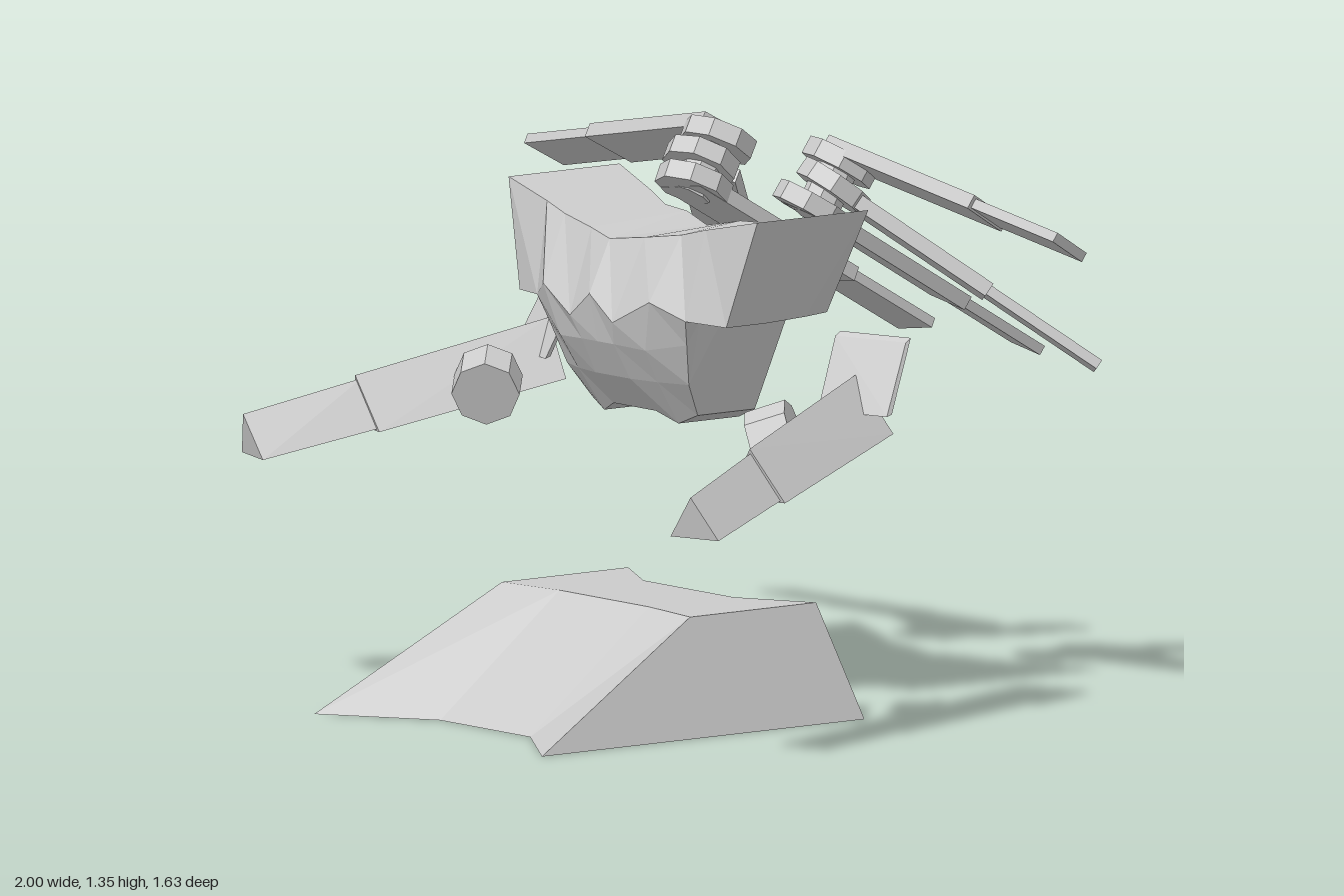
import * as THREE from 'three';

const material = new THREE.MeshStandardMaterial({ color: 0xcccccc, flatShading: true, side: THREE.DoubleSide });

// Skins a row of equal-sized cross-sections and caps both ends, facing outward
function loft(name, rings) {
  const n = rings[0].length;
  const tris = [];
  for (let i = 0; i < rings.length - 1; i++) {
    for (let j = 0; j < n; j++) {
      const k = (j + 1) % n;
      const [a, b, c, d] = [rings[i][j], rings[i][k], rings[i + 1][k], rings[i + 1][j]];
      tris.push([a, b, c], [a, c, d]);
    }
  }
  const first = rings[0], last = rings[rings.length - 1];
  for (let j = 1; j < n - 1; j++) {
    tris.push([first[0], first[j + 1], first[j]], [last[0], last[j], last[j + 1]]);
  }
  let volume = 0;
  for (const [a, b, c] of tris) {
    volume += new THREE.Vector3(...a).dot(new THREE.Vector3(...b).cross(new THREE.Vector3(...c)));
  }
  if (volume < 0) tris.forEach((t) => t.reverse());
  const geometry = new THREE.BufferGeometry();
  geometry.setAttribute('position', new THREE.Float32BufferAttribute(tris.flat(2), 3));
  geometry.computeVertexNormals();
  const mesh = new THREE.Mesh(geometry, material);
  mesh.name = name;
  return mesh;
}

const flip = (ring) => ring.map(([x, y, z]) => [-x, y, z]);

// Mesh with its local x along dir and local y along normal
function place(name, geometry, center, dir, normal) {
  const x = dir.clone().normalize();
  const y = normal.clone().addScaledVector(x, -normal.dot(x)).normalize();
  const z = new THREE.Vector3().crossVectors(x, y);
  const mesh = new THREE.Mesh(geometry, material);
  mesh.name = name;
  mesh.quaternion.setFromRotationMatrix(new THREE.Matrix4().makeBasis(x, y, z));
  mesh.position.copy(center);
  return mesh;
}

// Sloped base with a hollowed front and back
function createBase() {
  const outer = [[0.43, 0, 0.815], [0.355, 0.275, 0.315], [0.355, 0.275, -0.06], [0.43, 0, -0.145]];
  const inner = [[0.17, 0, 0.645], [0.17, 0.275, 0.29], [0.17, 0.275, 0.04], [0.17, 0, -0.045]];
  return loft('base', [flip(outer), flip(inner), inner, outer]);
}

// Faceted chest: sections run top back, top front, nose, then down and round the back
function createTorso() {
  const middle = [
    [0, 1.13, -0.015], [0, 1.125, 0.275], [0, 1, 0.335], [0, 0.885, 0.31],
    [0, 0.8, 0.265], [0, 0.72, 0.2], [0, 0.72, 0], [0, 0.95, 0.04],
  ];
  const half = [
    [
      [0.1, 1.15, -0.035], [0.1, 1.137, 0.25], [0.08, 0.94, 0.33], [0.06, 0.885, 0.31],
      [0.065, 0.8, 0.265], [0.08, 0.72, 0.2], [0.08, 0.72, 0], [0.1, 0.95, 0.01],
    ],
    [
      [0.19, 1.155, -0.04], [0.22, 1.155, 0.235], [0.2, 1, 0.315], [0.16, 0.88, 0.295],
      [0.15, 0.8, 0.25], [0.14, 0.695, 0.18], [0.14, 0.695, 0], [0.18, 0.95, -0.02],
    ],
    [
      [0.29, 1.175, -0.075], [0.3, 1.175, 0.225], [0.28, 0.96, 0.27], [0.26, 0.9, 0.25],
      [0.23, 0.8, 0.22], [0.2, 0.72, 0.17], [0.2, 0.72, 0], [0.26, 0.95, -0.04],
    ],
    // underside of the shoulder
    [
      [0.29, 1.175, -0.075], [0.3, 1.175, 0.225], [0.28, 0.96, 0.27], [0.28, 0.957, 0.25],
      [0.27, 0.955, 0.22], [0.27, 0.955, 0.15], [0.27, 0.96, 0], [0.27, 0.965, -0.05],
    ],
    [
      [0.47, 1.21, -0.125], [0.47, 1.21, 0.205], [0.39, 0.955, 0.235], [0.39, 0.955, 0.21],
      [0.39, 0.955, 0.18], [0.39, 0.955, 0.12], [0.39, 0.96, 0], [0.39, 0.965, -0.065],
    ],
  ];
  return loft('torso', [...half.map(flip).reverse(), middle, ...half]);
}

// Triangular two-part arm, shoulder plate and round pod
function createArm(s) {
  const arm = new THREE.Group();
  arm.name = s > 0 ? 'leftArm' : 'rightArm';
  const side = (ring) => (s > 0 ? ring : flip(ring));
  arm.add(loft('upperArm', [
    side([[0.58, 0.845, 0], [0.5, 0.71, 0.01], [0.66, 0.71, -0.05]]),
    side([[0.745, 0.73, 0.445], [0.66, 0.605, 0.44], [0.815, 0.605, 0.395]]),
  ]));
  arm.add(loft('forearm', [
    side([[0.74, 0.722, 0.43], [0.67, 0.612, 0.43], [0.8, 0.612, 0.39]]),
    side([[0.845, 0.65, 0.7], [0.77, 0.55, 0.7], [0.9, 0.55, 0.66]]),
  ]));
  arm.add(loft('shoulderPlate', [
    side([[0.675, 0.935, -0.09], [0.485, 0.935, -0.03], [0.485, 0.925, -0.015], [0.675, 0.925, -0.075]]),
    side([[0.705, 0.765, -0.01], [0.515, 0.765, 0.045], [0.515, 0.76, 0.06], [0.705, 0.76, 0.005]]),
  ]));
  const axis = new THREE.Vector3(-0.65 * s, -0.3, 0.6);
  arm.add(place('armPod', new THREE.CylinderGeometry(0.08, 0.08, 0.1, 8),
    new THREE.Vector3(0.545 * s, 0.71, 0.21), new THREE.Vector3(0.6 * s, 0, 0.65), axis));
  return arm;
}

// Fan of three stepped blades, each on its own hub disc
const blades = [
  { name: 'sideBlade', from: [0.22, 1.305, -0.245], to: [0.99, 1.165, -0.315], hub: [0.23, 1.285, -0.23], step: 0.64 },
  { name: 'diagonalBlade', from: [0.25, 1.215, -0.22], to: [0.665, 0.815, -0.655], hub: [0.25, 1.235, -0.195], step: 0.57 },
  { name: 'rearBlade', from: [0.225, 1.2, -0.12], to: [0.21, 0.8, -0.805], hub: [0.22, 1.19, -0.15], step: 0.66 },
];

function createWing(s) {
  const wing = new THREE.Group();
  wing.name = s > 0 ? 'leftWing' : 'rightWing';
  const vec = ([x, y, z]) => new THREE.Vector3(x * s, y, z);
  const normal = vec([0.14, 0.83, -0.51]).normalize();
  for (const b of blades) {
    const from = vec(b.from), to = vec(b.to);
    const dir = to.clone().sub(from);
    const length = dir.length();
    const part = (name, t0, t1, thickness, width) => wing.add(place(name,
      new THREE.BoxGeometry(length * (t1 - t0), thickness, width),
      from.clone().lerp(to, (t0 + t1) / 2), dir, normal));
    part(b.name + 'Inner', 0, b.step, 0.035, 0.14);
    part(b.name + 'Outer', b.step, 1, 0.024, 0.12);
    wing.add(place(b.name + 'Hub', new THREE.CylinderGeometry(0.09, 0.09, 0.045, 8), vec(b.hub), dir, normal));
  }
  // short post joining the discs
  wing.add(place('wingPost', new THREE.CylinderGeometry(0.05, 0.05, 0.16, 8),
    vec([0.235, 1.23, -0.19]), vec([1, 0, 0]), normal));
  return wing;
}

export function createModel() {
  const model = new THREE.Group();
  model.name = 'model';
  model.add(createBase(), createTorso());
  for (const s of [1, -1]) model.add(createArm(s), createWing(s));
  return model;
}
